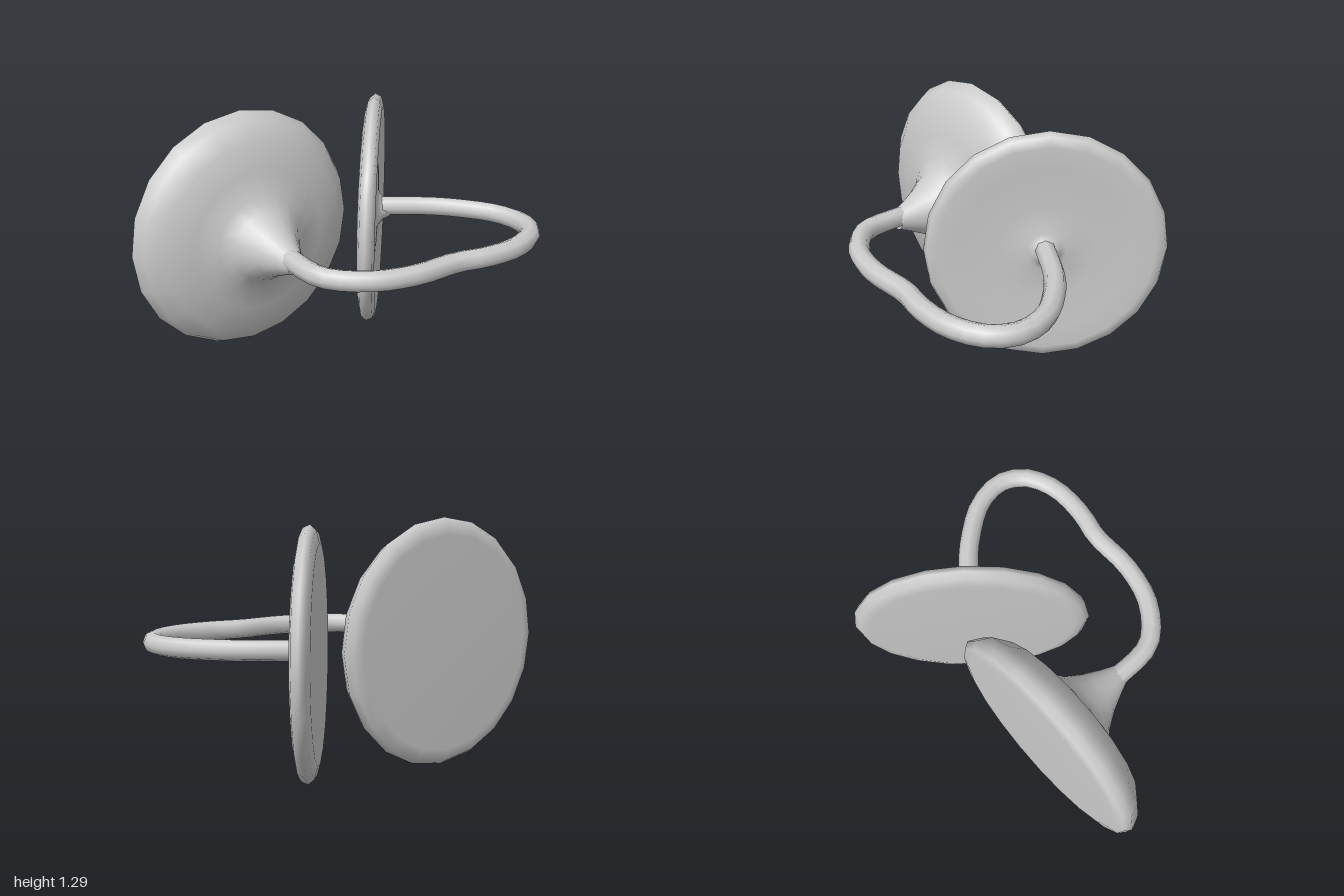
import * as THREE from 'three';

const material = new THREE.MeshStandardMaterial({ color: 0xcccccc, side: THREE.DoubleSide });

// Turned disc: profile of [radius, height], its axis laid level and swung round y by angle
function makeDisc(name, profile, sides, x, y, z, angle, widthScale) {
  const points = profile.map(([r, h]) => new THREE.Vector2(r, h));
  const geometry = new THREE.LatheGeometry(points, sides);
  geometry.rotateX(Math.PI / 2);
  geometry.scale(widthScale, 1, 1);
  const mesh = new THREE.Mesh(geometry, material);
  mesh.name = name;
  mesh.position.set(x, y, z);
  mesh.rotation.y = angle;
  return mesh;
}

export function createModel() {
  const model = new THREE.Group();
  model.name = 'linkedDiscs';

  // Thick disc whose front flares into the stem
  model.add(makeDisc('flaredDisc', [
    [0, 0], [0.56, 0], [0.62, 0.015], [0.645, 0.05], [0.61, 0.12], [0.52, 0.19],
    [0.38, 0.225], [0.26, 0.255], [0.19, 0.31], [0.13, 0.4], [0.08, 0.5], [0.05, 0.57],
  ], 20, -0.38, 0.65, -0.3, 0.1, 0.97));

  // Thin disc with a shallow dished face and a small fillet at the stem
  model.add(makeDisc('thinDisc', [
    [0, 0], [0.54, 0], [0.6, 0.015], [0.627, 0.045], [0.61, 0.08], [0.56, 0.092],
    [0.45, 0.083], [0.25, 0.075], [0.1, 0.08], [0.06, 0.11], [0.04, 0.15],
  ], 20, 0.327, 0.647, -0.217, 0.988, 0.98));

  // Bent rod joining the two discs, in a level plane
  const path = [
    [-0.34, 0.14], [-0.33, 0.25], [-0.285, 0.47], [-0.105, 0.61], [0.12, 0.652],
    [0.37, 0.628], [0.525, 0.645], [0.73, 0.622], [0.885, 0.53], [0.943, 0.4],
    [0.905, 0.24], [0.75, 0.06], [0.62, -0.04], [0.42, -0.15], [0.37, -0.18],
  ].map(([x, z]) => new THREE.Vector3(x, 0.665, z));
  const curve = new THREE.CatmullRomCurve3(path, false, 'centripetal');
  const rod = new THREE.Mesh(new THREE.TubeGeometry(curve, 36, 0.053, 8), material);
  rod.name = 'connectingRod';
  model.add(rod);

  return model;
}
